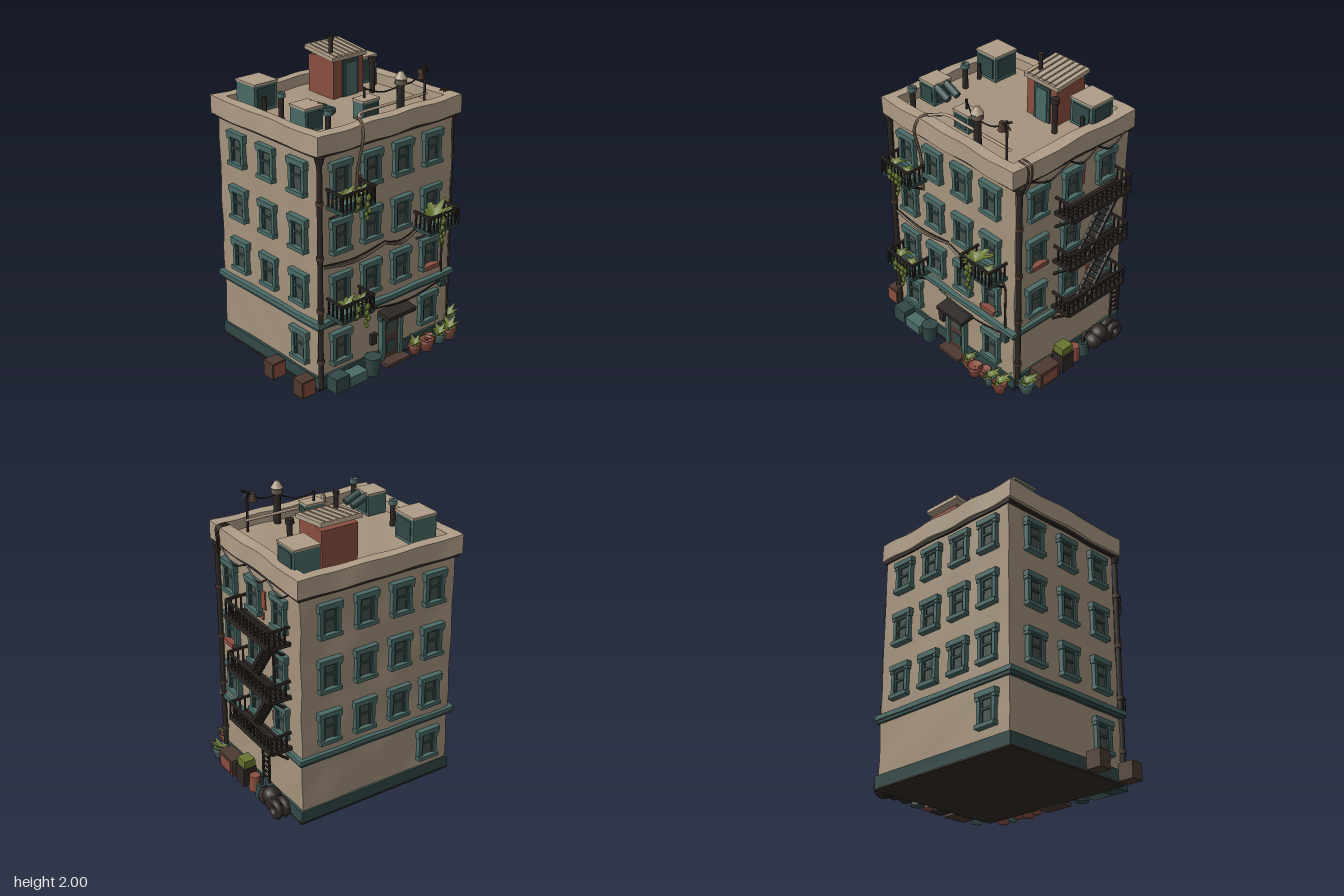
import * as THREE from 'three';

const V = (x, y, z) => new THREE.Vector3(x, y, z);
const paint = (hex, side = THREE.FrontSide) => new THREE.MeshStandardMaterial({ color: hex, side });

export function createModel() {
  const M = {
    wall: paint(0xa5937d), stone: paint(0xae9c86), teal: paint(0x4a6a66), darkTeal: paint(0x314847),
    glass: paint(0x454f4b), iron: paint(0x2e2825), brick: paint(0x8a4f40), leaf: paint(0x66742f, THREE.DoubleSide),
    wood: paint(0x4d3a31), rope: paint(0x675a4c),
  };
  for (const k in M) M[k].name = k;
  const root = new THREE.Group();
  root.name = 'apartmentBuilding';

  // ---- helpers ----
  const group = (name, parent = root, x = 0, y = 0, z = 0, ry = 0) => {
    const g = new THREE.Group();
    g.name = name; g.position.set(x, y, z); g.rotation.y = ry;
    parent.add(g);
    return g;
  };
  const add = (p, name, geo, mat, x = 0, y = 0, z = 0) => {
    const m = new THREE.Mesh(geo, mat);
    m.name = name; m.position.set(x, y, z);
    p.add(m);
    return m;
  };
  const box = (p, name, mat, w, h, d, x, y, z) => add(p, name, new THREE.BoxGeometry(w, h, d), mat, x, y, z);
  // box given by its limits
  const span = (p, name, mat, x0, x1, y0, y1, z0, z1) =>
    box(p, name, mat, x1 - x0, y1 - y0, z1 - z0, (x0 + x1) / 2, (y0 + y1) / 2, (z0 + z1) / 2);
  const cyl = (p, name, mat, rt, rb, h, x, y, z, n = 12) =>
    add(p, name, new THREE.CylinderGeometry(rt, rb, h, n), mat, x, y + h / 2, z);
  const bar = (p, name, mat, a, b, t) => {
    const m = box(p, name, mat, t, t, a.distanceTo(b), 0, 0, 0);
    m.position.copy(a).add(b).multiplyScalar(0.5);
    m.quaternion.setFromUnitVectors(V(0, 0, 1), b.clone().sub(a).normalize());
    return m;
  };
  const tube = (p, name, mat, pts, r, n = 24) =>
    add(p, name, new THREE.TubeGeometry(new THREE.CatmullRomCurve3(pts), n, r, 6), mat);
  const sag = (p, name, mat, a, b, drop, r) => {
    const mid = a.clone().add(b).multiplyScalar(0.5);
    mid.y -= drop;
    return tube(p, name, mat, [a, mid, b], r);
  };
  // uneven, weathered block
  const worn = (p, name, mat, x0, x1, y0, y1, z0, z1, amp) => {
    const n = s => Math.max(2, Math.round(s / 0.05));
    const g = new THREE.BoxGeometry(x1 - x0, y1 - y0, z1 - z0, n(x1 - x0), n(y1 - y0), n(z1 - z0));
    g.translate((x0 + x1) / 2, (y0 + y1) / 2, (z0 + z1) / 2);
    const a = g.attributes.position;
    for (let i = 0; i < a.count; i++) {
      const x = a.getX(i), y = a.getY(i), z = a.getZ(i);
      a.setXYZ(i, x + amp * Math.sin(13 * z + 9 * y + 1) * Math.sin(7 * y + 5 * z),
        y + amp * 0.7 * Math.sin(17 * x + 11 * z),
        z + amp * Math.sin(12 * x + 8 * y) * Math.sin(6 * y - 5 * x + 2));
    }
    g.computeVertexNormals();
    return add(p, name, g, mat);
  };
  // ring of four blocks around the building
  const ring = (name, mat, o, i, y0, y1, amp) => {
    const g = group(name);
    worn(g, name + 'Front', mat, o[0], o[1], y0, y1, i[3], o[3], amp);
    worn(g, name + 'Back', mat, o[0], o[1], y0, y1, o[2], i[2], amp);
    worn(g, name + 'Right', mat, i[1], o[1], y0, y1, i[2], i[3], amp);
    worn(g, name + 'Left', mat, o[0], i[0], y0, y1, i[2], i[3], amp);
  };

  // ---- building shell ----
  const X0 = -0.57, X1 = 0.535, Z0 = -0.565, Z1 = 0.39;
  worn(root, 'walls', M.wall, X0, X1, 0.02, 1.61, Z0, Z1, 0.005);
  span(root, 'underside', M.iron, -0.59, 0.55, 0, 0.012, -0.58, 0.405);
  span(root, 'plinth', M.darkTeal, -0.588, 0.548, 0.01, 0.09, -0.578, 0.403);
  const inner = [-0.54, 0.48, -0.52, 0.36];
  ring('parapet', M.stone, [-0.61, 0.56, -0.59, 0.435], inner, 1.56, 1.68, 0.006);
  ring('corniceShadow', M.iron, [-0.59, 0.55, -0.578, 0.415], inner, 1.54, 1.565, 0.002);
  ring('beltCourse', M.teal, [-0.605, 0.56, -0.59, 0.425], inner, 0.445, 0.475, 0.002);
  ring('beltUnderside', M.darkTeal, [-0.595, 0.55, -0.58, 0.41], inner, 0.425, 0.447, 0.001);

  // ---- windows ----
  const win = new THREE.Group();
  win.name = 'window';
  box(win, 'pane', M.glass, 0.11, 0.17, 0.008, 0, 0, 0.006);
  box(win, 'lintel', M.teal, 0.165, 0.034, 0.05, 0, 0.094, 0.012);
  box(win, 'sill', M.teal, 0.155, 0.026, 0.055, 0, -0.098, 0.014);
  box(win, 'meetingRail', M.darkTeal, 0.1, 0.014, 0.02, 0, 0.004, 0.01);
  for (const s of [-1, 1]) {
    box(win, 'jamb', M.teal, 0.025, 0.17, 0.04, s * 0.059, 0, 0.008);
    box(win, 'sash', M.darkTeal, 0.014, 0.17, 0.024, s * 0.041, 0, 0.008);
    box(win, 'lintelEnd', M.teal, 0.03, 0.025, 0.045, s * 0.066, 0.07, 0.01);
  }
  box(win, 'topSash', M.darkTeal, 0.09, 0.016, 0.024, 0, 0.07, 0.008);
  const rows = [0.655, 1.015, 1.38], fx = [-0.41, -0.165, 0.09, 0.345], sz = [0.22, -0.07, -0.36];
  const windows = group('windows');
  const place = (x, y, z, ry) => {
    const w = win.clone();
    w.position.set(x, y, z); w.rotation.y = ry;
    windows.add(w);
  };
  for (const y of rows) {
    for (const x of fx) { place(x, y, Z1, 0); place(x, y, Z0, Math.PI); }
    for (const z of sz) { place(X1, y, z, Math.PI / 2); place(X0, y, z, -Math.PI / 2); }
  }
  place(fx[0], 0.26, Z1, 0); place(fx[3], 0.26, Z1, 0);
  place(fx[0], 0.26, Z0, Math.PI); place(X0, 0.26, sz[0], -Math.PI / 2);

  // ---- bare brick patches ----
  for (const [x, y, w, h] of [[-0.32, 1.17, 0.08, 0.05], [-0.25, 1.3, 0.05, 0.1], [0.42, 0.86, 0.07, 0.05]])
    box(root, 'brickPatch', M.brick, w, h, 0.009, x, y, Z1 + 0.003);
  for (const [z, y, w, h] of [[-0.1, 1.27, 0.12, 0.05], [-0.2, 0.83, 0.1, 0.06], [-0.16, 1.38, 0.05, 0.12], [-0.27, 0.62, 0.06, 0.07]])
    box(root, 'brickPatch', M.brick, 0.009, h, w, X1 + 0.003, y, z);
  box(root, 'windowBoxSoil', M.brick, 0.12, 0.03, 0.05, 0.345, 0.565, 0.42);
  box(root, 'windowBoxSoil', M.brick, 0.05, 0.03, 0.12, 0.56, 0.925, 0.22);

  // ---- entrance ----
  const door = group('entrance', root, 0.015, 0, Z1);
  box(door, 'doorLeaf', M.wood, 0.13, 0.3, 0.012, 0, 0.17, 0.012);
  box(door, 'doorWindow', M.glass, 0.075, 0.1, 0.008, 0, 0.24, 0.018);
  box(door, 'doorPanel', M.darkTeal, 0.075, 0.08, 0.008, 0, 0.1, 0.018);
  for (const s of [-1, 1]) box(door, 'doorJamb', M.teal, 0.028, 0.33, 0.05, s * 0.078, 0.175, 0.01);
  box(door, 'doorHead', M.darkTeal, 0.2, 0.03, 0.05, 0, 0.325, 0.012);
  box(door, 'canopy', M.iron, 0.245, 0.03, 0.1, 0.02, 0.355, 0.05).rotation.x = 0.15;
  box(door, 'step', M.wood, 0.2, 0.022, 0.1, 0, 0.011, 0.05);
  box(root, 'meterBox', M.iron, 0.045, 0.075, 0.03, -0.135, 0.2, 0.4);
  box(root, 'junctionBox', M.darkTeal, 0.05, 0.05, 0.03, 0.47, 0.4, 0.41);

  // ---- plants ----
  const blade = (len, width, droop) => {
    const g = new THREE.PlaneGeometry(1, 1, 2, 5), a = g.attributes.position;
    for (let i = 0; i < a.count; i++) {
      const t = a.getY(i) + 0.5, s = a.getX(i) * 2;
      const w = width * (0.25 + Math.sin(Math.PI * Math.pow(t, 0.8))) * (1 - t * 0.6);
      a.setXYZ(i, s * w * 0.5, len * (0.95 * t - droop * t * t) + Math.abs(s) * w * 0.2, len * 0.9 * t);
    }
    g.computeVertexNormals();
    return g;
  };
  const plant = (p, x, y, z, len, mat = M.leaf, n = 9) => {
    const g = group('plant', p, x, y, z);
    for (let i = 0; i < n; i++) {
      const m = add(g, 'leaf', blade(len * (0.75 + 0.25 * Math.sin(i * 2.3)), len * 0.34, 0.3 + 0.6 * (i % 3) / 2), mat);
      m.rotation.y = i * 2.4;
    }
  };
  const vine = (p, x, y, z, len) => {
    for (let i = 0; i * 0.022 < len; i++) {
      const m = add(p, 'vineLeaf', new THREE.OctahedronGeometry(0.02 - 0.006 * i * 0.022 / len, 1), M.leaf,
        x + 0.01 * Math.sin(i * 2), y - i * 0.022, z + 0.008 * Math.cos(i * 3));
      m.scale.set(1, 1.2, 0.7);
    }
  };

  // ---- flower balconies ----
  const balcony = (x, y) => {
    const g = group('balcony', root, x, y, Z1), w = 0.125, d = 0.145;
    box(g, 'balconyFloor', M.darkTeal, 0.26, 0.025, d, 0, 0.012, d / 2);
    box(g, 'planter', M.teal, 0.22, 0.035, 0.06, 0, 0.04, 0.1);
    box(g, 'handrail', M.iron, 0.26, 0.014, 0.014, 0, 0.125, d);
    for (let i = 0; i < 9; i++) box(g, 'baluster', M.iron, 0.009, 0.11, 0.009, -w + i * w / 4, 0.07, d);
    for (const s of [-1, 1]) {
      box(g, 'sideRail', M.iron, 0.014, 0.014, d, s * w, 0.125, d / 2);
      for (let i = 0; i < 4; i++) box(g, 'sideBaluster', M.iron, 0.009, 0.11, 0.009, s * w, 0.07, i * 0.036 + 0.018);
      bar(g, 'bracket', M.iron, V(s * 0.1, 0, 0.11), V(s * 0.1, -0.07, 0), 0.012);
    }
    return g;
  };
  const b1 = balcony(-0.383, 1.205), b2 = balcony(0.343, 0.85), b3 = balcony(-0.383, 0.49);
  for (const b of [b1, b3]) {
    plant(b, -0.06, 0.07, 0.1, 0.11); plant(b, 0.045, 0.06, 0.1, 0.1);
    vine(b, 0.05, 0.08, 0.165, 0.15); vine(b, -0.02, 0.08, 0.16, 0.07);
  }
  plant(b2, -0.05, 0.08, 0.1, 0.16, M.leaf, 11); plant(b2, 0.06, 0.06, 0.1, 0.1);
  vine(b2, -0.04, 0.09, 0.165, 0.17);

  // ---- fire escape ----
  const esc = group('fireEscape');
  const ex = 0.675, za = -0.45, zb = 0.055;
  for (const y of [0.49, 0.85, 1.21]) {
    for (let i = 0; i < 6; i++) box(esc, 'floorSlat', M.iron, 0.019, 0.014, zb - za, X1 + 0.02 + i * 0.024, y + 0.012, (za + zb) / 2);
    span(esc, 'floorBeam', M.iron, ex - 0.012, ex + 0.012, y - 0.005, y + 0.025, za, zb);
    span(esc, 'topRail', M.iron, ex - 0.007, ex + 0.007, y + 0.11, y + 0.125, za, zb);
    for (let i = 0; i <= 12; i++) box(esc, 'baluster', M.iron, 0.01, 0.11, 0.01, ex, y + 0.06, za + i * (zb - za) / 12);
    for (const z of [za, zb]) {
      span(esc, 'endRail', M.iron, X1, ex, y + 0.11, y + 0.125, z - 0.007, z + 0.007);
      span(esc, 'endBeam', M.iron, X1, ex, y - 0.005, y + 0.02, z - 0.01, z + 0.01);
      for (let i = 1; i < 4; i++) box(esc, 'endBaluster', M.iron, 0.01, 0.11, 0.01, X1 + i * 0.035, y + 0.06, z);
      bar(esc, 'strut', M.iron, V(ex - 0.02, y, z * 0.9), V(X1, y - 0.1, z * 0.9), 0.014);
    }
  }
  for (const y of [0.5, 0.86]) {
    for (const x of [0.575, 0.65]) bar(esc, 'stringer', M.iron, V(x, y, -0.13), V(x, y + 0.36, -0.38), 0.02);
    for (let i = 1; i < 11; i++) box(esc, 'tread', M.iron, 0.075, 0.01, 0.03, 0.612, y + i * 0.0327, -0.13 - i * 0.0227);
  }
  for (const z of [-0.345, -0.415]) span(esc, 'ladderRail', M.iron, ex - 0.007, ex + 0.007, 0.27, 0.5, z - 0.006, z + 0.006);
  for (let i = 0; i < 6; i++) box(esc, 'ladderRung', M.iron, 0.01, 0.01, 0.07, ex, 0.3 + i * 0.036, -0.38);
  span(esc, 'hangingRod', M.iron, 0.64, 0.655, 0.99, 1.24, -0.46, -0.447);

  // ---- drainpipes and cables ----
  const pipes = group('pipesAndCables');
  for (const [x, z, y0] of [[-0.575, 0.408, 0.02], [0.552, 0.37, 0.02]]) {
    cyl(pipes, 'drainpipe', M.iron, 0.017, 0.017, 1.55 - y0, x, y0, z, 8);
    cyl(pipes, 'rainHopper', M.iron, 0.032, 0.02, 0.05, x, 1.5, z, 8);
    for (const y of [0.2, 0.55, 0.9, 1.25]) cyl(pipes, 'pipeCollar', M.wood, 0.024, 0.024, 0.025, x, y, z, 8);
  }
  tube(pipes, 'roofHose', M.rope, [V(-0.2, 1.67, 0.3), V(-0.25, 1.69, 0.4), V(-0.275, 1.62, 0.45), V(-0.28, 1.4, 0.41), V(-0.28, 1.14, 0.4)], 0.009);
  tube(pipes, 'roofHose', M.stone, [V(-0.23, 1.69, 0.38), V(-0.17, 1.69, 0.3), V(0, 1.69, 0.29), V(0.4, 1.69, 0.29)], 0.01);
  for (const [a, b] of [[-0.55, -0.04], [-0.04, 0.22]]) {
    sag(pipes, 'wallRope', M.rope, V(a, 0.84, 0.41), V(b, 0.85, 0.41), 0.04, 0.008);
    sag(pipes, 'wallRope', M.iron, V(a, 0.85, 0.405), V(b, 0.86, 0.405), 0.03, 0.004);
  }
  sag(pipes, 'lowerCable', M.iron, V(-0.15, 0.42, 0.41), V(0.46, 0.42, 0.41), 0.04, 0.005);
  tube(pipes, 'conduit', M.iron, [V(0.44, 0.83, 0.4), V(0.465, 0.78, 0.4), V(0.465, 0.6, 0.4), V(0.47, 0.4, 0.4)], 0.007);
  for (const [a, b] of [[0.3, -0.02], [-0.02, -0.26], [-0.26, -0.5]])
    sag(pipes, 'sideCable', M.iron, V(0.565, 1.56, a), V(0.565, 1.56, b), 0.06, 0.006);
  for (const z of [0.3, 0.33]) tube(pipes, 'looseCable', M.wood, [V(0.5, 1.69, z), V(0.57, 1.68, z), V(0.572, 1.58, z), V(0.56, 1.5, z + 0.04)], 0.006);

  // ---- rooftop ----
  const roof = group('rooftop');
  const shed = new THREE.Shape([[0.18, 1.6], [0.42, 1.6], [0.42, 1.855], [0.18, 1.885]].map(p => new THREE.Vector2(...p)));
  const sg = new THREE.ExtrudeGeometry(shed, { depth: 0.25, bevelEnabled: false });
  sg.rotateY(Math.PI / 2);
  add(roof, 'stairHouse', sg, M.brick, 0.045, 0, 0);
  box(roof, 'stairHouseRoof', M.stone, 0.285, 0.028, 0.275, 0.17, 1.885, -0.303).rotation.x = 0.125;
  for (let i = 0; i < 6; i++) box(roof, 'roofSeam', M.stone, 0.008, 0.008, 0.27, 0.06 + i * 0.044, 1.901, -0.303).rotation.x = 0.125;
  span(roof, 'roofDoorFrame', M.darkTeal, 0.115, 0.245, 1.6, 1.85, -0.185, -0.168);
  span(roof, 'roofDoor', M.teal, 0.135, 0.225, 1.6, 1.83, -0.17, -0.162);
  cyl(roof, 'chimneyPipe', M.iron, 0.014, 0.014, 0.12, 0.085, 1.87, -0.25, 8);
  cyl(roof, 'chimneyCap', M.iron, 0.02, 0.02, 0.02, 0.085, 1.98, -0.25, 8);
  const unit = (x, z, w, d, top) => {
    const g = group('coolingUnit', roof, x, 0, z);
    span(g, 'unitBody', M.teal, -w / 2, w / 2, 1.62, top - 0.012, -d / 2, d / 2);
    span(g, 'unitLid', M.stone, -w / 2 - 0.004, w / 2 + 0.004, top - 0.014, top, -d / 2 - 0.004, d / 2 + 0.004);
    span(g, 'unitGrille', M.darkTeal, -w * 0.38, w * 0.38, 1.64, top - 0.03, d / 2, d / 2 + 0.006);
    span(g, 'unitGrille', M.darkTeal, w / 2, w / 2 + 0.006, 1.64, top - 0.03, -d * 0.38, d * 0.38);
  };
  unit(-0.42, -0.36, 0.175, 0.18, 1.8); unit(0.412, -0.36, 0.175, 0.18, 1.8);
  unit(-0.44, 0.138, 0.135, 0.14, 1.77); unit(-0.052, 0.228, 0.13, 0.09, 1.745);
  for (const z of [0.105, 0.18]) {
    const m = cyl(roof, 'duct', M.darkTeal, 0.024, 0.024, 0.13, -0.33, 1.66, z);
    m.rotation.z = Math.PI / 2 - 0.4;
  }
  for (const x of [-0.455, 0.45]) cyl(roof, 'unitPipe', M.iron, 0.014, 0.014, 0.12, x, 1.6, -0.24, 8);
  const vent = (x, z, top, r, mat) => {
    cyl(roof, 'ventPipe', M.iron, r, r, top - 1.6, x, 1.6, z, 10);
    cyl(roof, 'ventCap', mat, r * 1.5, r * 1.6, 0.03, x, top - 0.03, z, 10);
  };
  vent(-0.435, -0.105, 1.78, 0.018, M.teal); vent(-0.435, 0.325, 1.78, 0.018, M.teal);
  vent(0.33, -0.13, 1.84, 0.018, M.iron); vent(0.145, 0.32, 1.84, 0.024, M.rope);
  cyl(roof, 'ventHood', M.stone, 0.012, 0.04, 0.045, 0.145, 1.845, 0.32);
  cyl(roof, 'antennaMast', M.iron, 0.008, 0.008, 0.28, 0.37, 1.6, 0.3, 6);
  cyl(roof, 'antennaLamp', M.wood, 0.016, 0.026, 0.06, 0.33, 1.8, 0.3, 8);
  bar(roof, 'antennaArm', M.iron, V(0.31, 1.83, 0.3), V(0.41, 1.89, 0.3), 0.01);
  bar(roof, 'antennaArm', M.iron, V(0.36, 1.88, 0.3), V(0.4, 1.83, 0.3), 0.008);
  sag(roof, 'aerialCable', M.iron, V(-0.06, 1.8, 0.22), V(0.145, 1.8, 0.32), 0.03, 0.005);
  sag(roof, 'aerialCable', M.iron, V(0.145, 1.8, 0.32), V(0.37, 1.86, 0.3), 0.03, 0.005);
  cyl(roof, 'cablePost', M.iron, 0.008, 0.008, 0.1, -0.06, 1.71, 0.22, 6);

  // ---- street clutter ----
  const street = group('streetClutter');
  const potProfile = [[0, 0], [0.032, 0], [0.046, 0.055], [0.05, 0.06], [0.05, 0.075], [0.042, 0.075], [0.04, 0.06], [0, 0.06]].map(p => new THREE.Vector2(...p));
  const pot = (x, z, s, mat, len, leafMat) => {
    add(street, 'flowerpot', new THREE.LatheGeometry(potProfile, 14), mat, x, 0, z).scale.setScalar(s);
    plant(street, x, 0.06 * s, z, len, leafMat, 10);
  };
  pot(0.18, 0.46, 0.9, M.brick, 0.08); pot(0.27, 0.48, 1.05, M.brick, 0.12, M.wood); pot(0.33, 0.45, 0.9, M.brick, 0.11, M.wood);
  pot(0.4, 0.47, 0.9, M.teal, 0.09); pot(0.49, 0.47, 1.05, M.brick, 0.1); pot(0.61, 0.35, 1.1, M.teal, 0.1);
  span(street, 'bin', M.darkTeal, -0.53, -0.42, 0, 0.1, 0.41, 0.5);
  span(street, 'bin', M.teal, -0.41, -0.27, 0, 0.07, 0.41, 0.5);
  cyl(street, 'trashCan', M.darkTeal, 0.055, 0.045, 0.125, -0.195, 0, 0.465);
  for (const z of [0.065, 0.355]) {
    span(street, 'crate', M.wood, -0.72, -0.615, 0, 0.11, z - 0.045, z + 0.045);
    span(street, 'crateFace', M.brick, -0.712, -0.623, 0.008, 0.102, z + 0.045, z + 0.05);
  }
  span(street, 'crate', M.wood, 0.56, 0.66, 0, 0.12, 0.1, 0.27);
  span(street, 'crateFace', M.brick, 0.66, 0.665, 0.02, 0.1, 0.12, 0.25);
  span(street, 'dustbin', M.iron, 0.555, 0.65, 0, 0.13, -0.04, 0.06);
  span(street, 'grassTray', M.leaf, 0.56, 0.64, 0.13, 0.185, -0.035, 0.055);
  cyl(street, 'clayJar', M.brick, 0.035, 0.04, 0.11, 0.6, 0, -0.095);
  cyl(street, 'jug', M.darkTeal, 0.03, 0.045, 0.09, 0.6, 0, -0.18);
  tube(street, 'bentPipe', M.iron, [V(0.6, 0.08, -0.18), V(0.6, 0.14, -0.18), V(0.6, 0.17, -0.2)], 0.014, 8);
  const bag = new THREE.SphereGeometry(0.068, 12, 8);
  for (const [z, y] of [[-0.27, 0.06], [-0.36, 0.062], [-0.32, 0.095]]) add(street, 'rubbishBag', bag, M.iron, 0.61, y, z).scale.set(0.9, 0.85, 0.9);
  for (const x of [0.59, 0.645]) add(street, 'tyre', new THREE.TorusGeometry(0.045, 0.024, 8, 18), M.iron, x, 0.07, -0.43).rotation.y = Math.PI / 2;

  return root;
}
